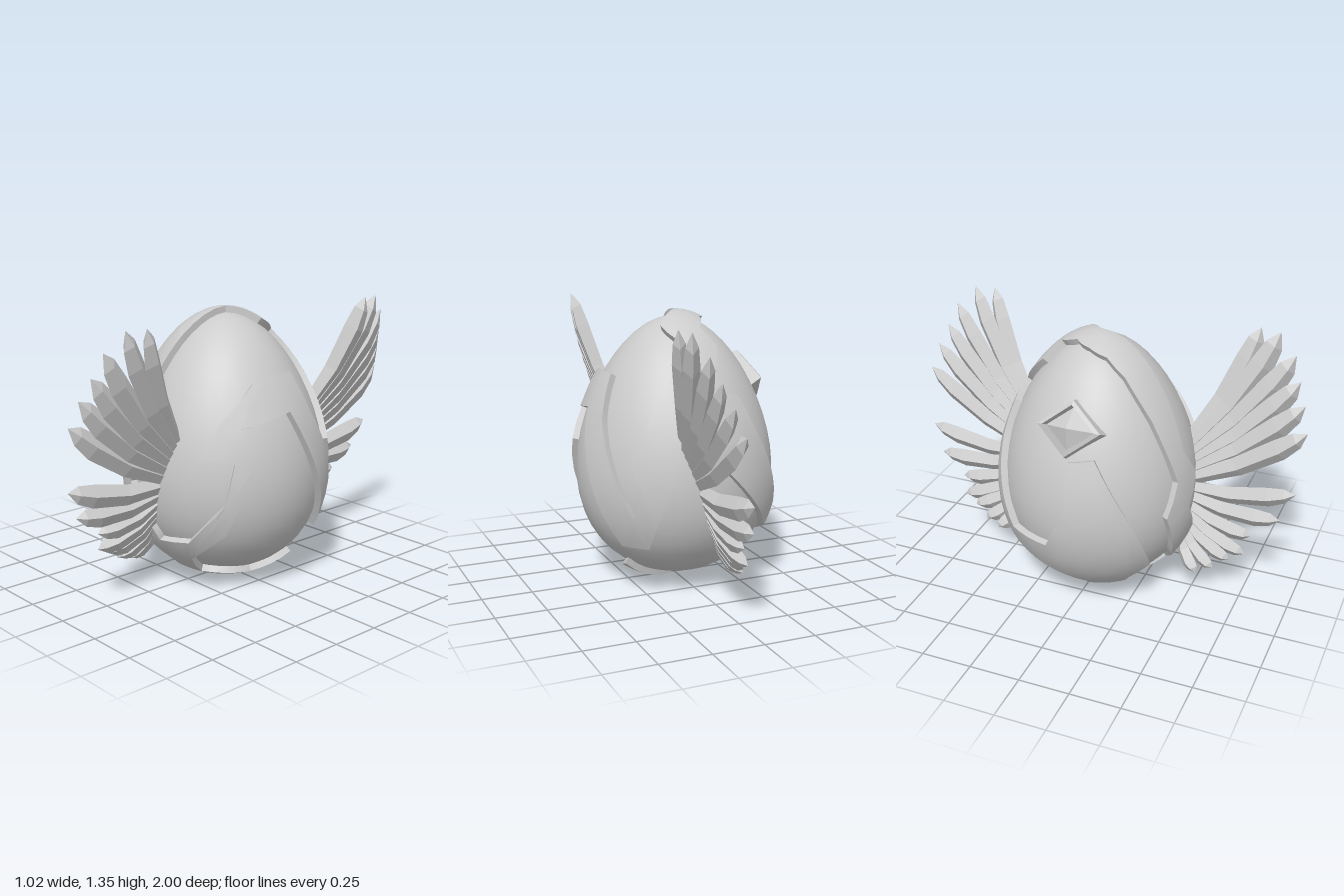
import * as THREE from 'three';
import { toCreasedNormals } from 'three/addons/utils/BufferGeometryUtils.js';

const MID = 0.673, HALF = 0.64, GIRTH = 0.477;
const TOP = 2, BOTTOM = -1; // clamped to the poles
const makeMaterial = (opts = {}) => new THREE.MeshStandardMaterial({ color: 0xcccccc, ...opts });
const toPoints = list => list.map(([x, y]) => new THREE.Vector2(x, y));

// Egg profile: t runs from 0 (top) to PI (bottom); d lifts the point off the surface
function eggProfile(t, d = 0) {
  const s = Math.sin(t), c = Math.cos(t);
  const r = GIRTH * s * (1 - 0.2 * c);
  const slope = GIRTH * (c - 0.2 * Math.cos(2 * t));
  const n = new THREE.Vector2(HALF * s, slope).normalize();
  return new THREE.Vector2(Math.max(0, r + n.x * d), MID + HALF * c + n.y * d);
}

function heightToT(y) {
  return Math.acos(THREE.MathUtils.clamp((y - MID) / HALF, -1, 1));
}

// Point on the egg at an angle (radians from +z towards +x)
function eggPoint(angle, t, d = 0) {
  const p = eggProfile(t, d);
  return new THREE.Vector3(p.x * Math.sin(angle), p.y, p.x * Math.cos(angle));
}

// Halve the longest edge of each triangle until all edges are short
function subdivide(tri, limit, out) {
  let k = 0, longest = 0;
  for (let i = 0; i < 3; i++) {
    const l = tri[i].distanceTo(tri[(i + 1) % 3]);
    if (l > longest) { longest = l; k = i; }
  }
  if (longest <= limit) { out.push(...tri); return; }
  const a = tri[k], b = tri[(k + 1) % 3], c = tri[(k + 2) % 3];
  const m = a.clone().add(b).multiplyScalar(0.5);
  subdivide([a, m, c], limit, out);
  subdivide([m, b, c], limit, out);
}

// Raised shell plate: an outline of [degrees, height] wrapped over the egg
function shellPlate(name, outline) {
  const W = 0.45, H = 0.6;
  const shape = new THREE.Shape(outline.map(([deg, y]) =>
    new THREE.Vector2(THREE.MathUtils.degToRad(deg) * W, -heightToT(y) * H)));
  let flat = new THREE.ExtrudeGeometry(shape, { depth: 0.047, bevelEnabled: false });
  if (flat.index) flat = flat.toNonIndexed();
  const src = flat.attributes.position, pts = [];
  for (let i = 0; i < src.count; i += 3) {
    const tri = [0, 1, 2].map(j => new THREE.Vector3().fromBufferAttribute(src, i + j));
    subdivide(tri, 0.1, pts);
  }
  const wrapped = pts.map(p => eggPoint(p.x / W, -p.y / H, p.z - 0.015));
  const geo = toCreasedNormals(new THREE.BufferGeometry().setFromPoints(wrapped), 0.6);
  const mesh = new THREE.Mesh(geo, makeMaterial());
  mesh.name = name;
  return mesh;
}

// Band from the front, over the top, down the back and round to the right side
const CREST_BAND = [
  [4, 0.28], [0, 0.36], [-13, 0.54], [-4, 0.69], [-13, 0.83], [-8, 1.2], [0, TOP],
  [-225, TOP], [-225, 1.26], [-193, 1.19], [-216, 0.9], [-227, 0.69], [-219, 0.55], [-225, 0.43],
  [-218, 0.28], [-203, 0.6], [-196, 0.91], [-178, 0.91], [-179, 0.69], [-137, 0.33], [-80, 0.17],
  [-75, 0.05], [-70, BOTTOM], [-45, BOTTOM], [-50, 0.06], [-47, 0.2], [-36, 0.28], [-55, 0.6], [-72, 0.87],
  [-88, 0.85], [-88, 0.62], [-100, 0.41], [-127, 0.41], [-150, 0.81], [-157, 0.96], [-181, 1.0],
  [-156, 1.17], [-164, 1.25], [-130, 1.285], [-90, 1.275], [-60, 1.25], [-44, 1.18], [-32, 1.0],
  [-22, 0.7], [-31, 0.54], [-18, 0.28], [0, 0.17],
];

// Arch on the left side, running down into the base plate
const SIDE_ARCH = [
  [4, 0.28], [26, 0.3], [48, 0.5], [53, 0.69], [34, 0.71], [46, 0.87], [68, 1.03], [78, 1.05],
  [103, 1.05], [110, 0.86], [135, 0.43], [142, 0.28], [124, 0.28], [90, 0.89], [57, 0.84], [65, 0.69],
  [48, 0.35], [24, 0.2], [22, 0.1], [35, 0.1], [80, 0.085], [115, 0.16], [120, 0.04],
  [120, BOTTOM], [-12, BOTTOM], [-10, 0.08], [2, 0.16], [0, 0.17],
];

// Diamond brooch: sloped four-sided frame around a faceted stone
function buildGem() {
  const gem = new THREE.Group();
  gem.name = 'gem';
  const material = makeMaterial({ flatShading: true });
  const ring = new THREE.LatheGeometry(
    toPoints([[1, -0.06], [0.92, 0.025], [0.76, 0.035], [0.7, -0.01]]), 4).rotateX(Math.PI / 2);
  const frame = new THREE.Mesh(ring, material);
  frame.name = 'gemFrame';
  frame.scale.set(0.17, 0.145, 1);
  const stone = new THREE.Mesh(new THREE.OctahedronGeometry(1), material);
  stone.name = 'gemStone';
  stone.scale.set(0.12, 0.1, 0.06);
  gem.add(frame, stone);
  const t = heightToT(0.99);
  gem.position.copy(eggPoint(-Math.PI / 2, t, 0.005));
  gem.lookAt(eggPoint(-Math.PI / 2, t, 1));
  return gem;
}

// Feather tips, from the top of the fan to the bottom
const FEATHER_TIPS = [
  [0.28, 1.35, 0.7], [0.26, 1.35, 0.8], [0.22, 1.26, 0.89], [0.18, 1.15, 0.93], [0.14, 1.05, 0.97],
  [0.1, 0.93, 1.0], [0.05, 0.62, 0.98], [0.02, 0.48, 0.92], [0, 0.37, 0.79], [-0.03, 0.28, 0.77],
  [-0.05, 0.24, 0.7], [-0.08, 0.19, 0.625], [-0.1, 0.16, 0.545],
];

function buildWing(name, side) {
  const wing = new THREE.Group();
  wing.name = name;
  // Four-sided blade of unit length, widest near the tip and sagging in the middle
  const blade = new THREE.LatheGeometry(
    toPoints([[0, 0], [0.65, 0.02], [0.9, 0.4], [1, 0.75], [0.75, 0.9], [0, 1]]), 4);
  const pos = blade.attributes.position;
  for (let i = 0; i < pos.count; i++) {
    const u = pos.getY(i);
    pos.setX(i, pos.getX(i) + side * 2.4 * u * (1 - u));
  }
  const material = makeMaterial({ flatShading: true });
  FEATHER_TIPS.forEach(([x, y, z], i) => {
    const f = i / (FEATHER_TIPS.length - 1);
    const root = new THREE.Vector3(0.13 - 0.15 * f, 0.77 - 0.45 * f, side * (0.42 + 0.02 * f));
    const along = new THREE.Vector3(x, y, side * z).sub(root);
    const length = along.length();
    along.normalize();
    const across = new THREE.Vector3(1, -0.32, 0).cross(along).normalize();
    const facing = across.clone().cross(along).normalize();
    const feather = new THREE.Mesh(blade, material);
    feather.name = 'feather';
    feather.position.copy(root);
    feather.quaternion.setFromRotationMatrix(new THREE.Matrix4().makeBasis(across, along, facing));
    feather.rotateY(0.4 * side);
    const width = 0.032 + 0.032 * length;
    feather.scale.set(width * 1.1, length, width * 0.7);
    wing.add(feather);
  });
  return wing;
}

export function createModel() {
  const model = new THREE.Group();
  model.name = 'wingedEgg';

  // Smooth inner egg
  const profile = Array.from({ length: 25 }, (_, i) => eggProfile(Math.PI * (1 - i / 24)));
  const egg = new THREE.Mesh(new THREE.LatheGeometry(profile, 40), makeMaterial());
  egg.name = 'egg';
  model.add(egg);

  // Raised shell
  model.add(shellPlate('crestBand', CREST_BAND), shellPlate('sideArch', SIDE_ARCH));

  model.add(buildGem(), buildWing('frontWing', 1), buildWing('backWing', -1));
  return model;
}
